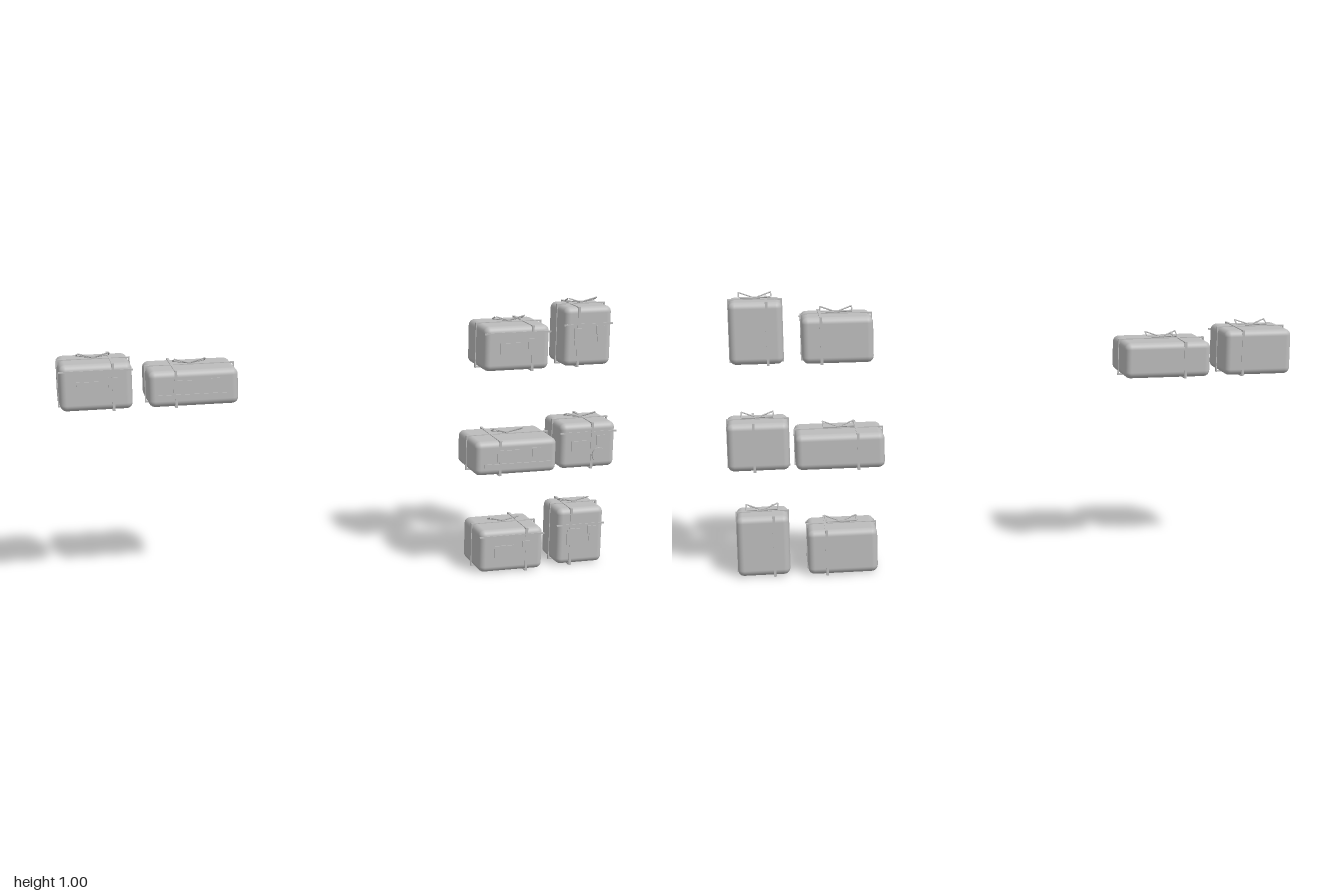
import * as THREE from 'three';
import { RoundedBoxGeometry } from 'three/addons/geometries/RoundedBoxGeometry.js';

const grey = new THREE.MeshStandardMaterial({ color: 0xbcbcbc });
grey.name = 'plain grey';

function add(group, name, geometry, x = 0, y = 0, z = 0) {
  const mesh = new THREE.Mesh(geometry, grey);
  mesh.name = name;
  mesh.position.set(x, y, z);
  group.add(mesh);
  return mesh;
}

const STRAP = 0.009; // strap width
const THICK = 0.005; // strap thickness

// Square-cornered strap loop around a w x h section
function strapLoop(name, w, h) {
  const loop = new THREE.Group();
  loop.name = name;
  for (const s of [-1, 1]) {
    add(loop, 'strapAcross', new THREE.BoxGeometry(w, THICK, STRAP), 0, s * (h - THICK) / 2, 0);
    add(loop, 'strapUpright', new THREE.BoxGeometry(THICK, h, STRAP), s * (w - THICK) / 2, 0, 0);
  }
  return loop;
}

// String bow: two open triangular loops rising to the sides
function bow() {
  const group = new THREE.Group();
  group.name = 'bow';
  for (const s of [-1, 1]) {
    const corners = [
      new THREE.Vector3(0, 0.003, 0),
      new THREE.Vector3(s * 0.055, 0.021, 0.016),
      new THREE.Vector3(s * 0.055, 0.008, -0.016),
    ];
    corners.forEach((a, i) => {
      const b = corners[(i + 1) % 3];
      add(group, 'bowLoop', new THREE.TubeGeometry(new THREE.LineCurve3(a, b), 1, 0.0025, 6));
    });
  }
  add(group, 'bowKnot', new THREE.BoxGeometry(0.012, 0.008, 0.01), 0, 0.003, 0);
  return group;
}

// Package kinds; plates are [name, x, y, width, height, gap in front]
const KINDS = {
  parcel: {
    size: [0.25, 0.165, 0.207], strapX: 0.057, seam: 0.14,
    plates: [['label', -0.03, 0.083, 0.075, 0.045, 0.008], ['tag', 0.055, 0.1, 0.032, 0.036, 0.01]],
  },
  longCase: {
    size: [0.315, 0.13, 0.222], strapX: -0.062,
    plates: [['label', -0.033, 0.074, 0.08, 0.042, 0.005], ['tag', 0.073, 0.083, 0.032, 0.032, 0.008],
      ['longBar', 0, 0.042, 0.25, 0.013, 0.014]],
  },
  tallBox: {
    size: [0.187, 0.22, 0.168], strapX: -0.038, seam: 0.155,
    plates: [['label', -0.032, 0.113, 0.05, 0.062, 0.012], ['tag', 0.042, 0.135, 0.032, 0.03, 0.01],
      ['tagStick', 0.035, 0.115, 0.006, 0.045, 0.01]],
  },
  lidBox: {
    size: [0.218, 0.173, 0.185], strapX: 0.015, seam: 0.137,
    plates: [['label', -0.035, 0.088, 0.062, 0.04, 0.008], ['tag', 0.045, 0.108, 0.034, 0.036, 0.01]],
    seal: [0.042, 0.052, 0.027],
  },
};

function makePackage(kindName, x, y, z) {
  const { size: [w, h, d], strapX, seam, plates, seal } = KINDS[kindName];
  const group = new THREE.Group();
  group.name = kindName;
  group.position.set(x, y, z);

  // Body sits just inside the straps
  add(group, 'body', new RoundedBoxGeometry(w - 0.005, h - 0.005, d - 0.005, 4, 0.022), 0, h / 2, 0);

  // One strap runs lengthwise, the other front to back
  const lengthwise = strapLoop('lengthwiseStrap', w, h);
  lengthwise.position.y = h / 2;
  const crosswise = strapLoop('crosswiseStrap', d, h);
  crosswise.rotation.y = Math.PI / 2;
  crosswise.position.set(strapX, h / 2, 0);
  group.add(lengthwise, crosswise);

  // Lid seam across the front
  if (seam) add(group, 'lidSeam', new THREE.BoxGeometry(w, 0.006, 0.006), 0, seam, d / 2 - 0.003);

  // Front plates
  for (const [name, px, py, pw, ph, gap] of plates) {
    add(group, name, new THREE.BoxGeometry(pw, ph, 0.004), px, py, d / 2 + gap - 0.004);
  }
  if (seal) {
    const [sx, sy, r] = seal;
    const disc = add(group, 'roundSeal', new THREE.CylinderGeometry(r, r, 0.008, 24), sx, sy, d / 2 + 0.003);
    disc.rotation.x = Math.PI / 2;
  }

  const knot = bow();
  knot.position.y = h;
  group.add(knot);
  return group;
}

export function createModel() {
  const model = new THREE.Group();
  model.name = 'strappedPackages';
  const layout = [
    ['parcel', -0.875, 0.68, -0.043],
    ['longCase', -0.544, 0.68, -0.043],
    ['longCase', 0.608, 0.378, 0.029],
    ['lidBox', 0.89, 0.378, 0.029],
  ];
  // The same pair stands at the bottom and the top of the right column
  for (const y of [0, 0.755]) {
    layout.push(['parcel', 0.608, y, 0.013], ['tallBox', 0.885, y, 0.011]);
  }
  for (const entry of layout) model.add(makePackage(...entry));
  return model;
}
